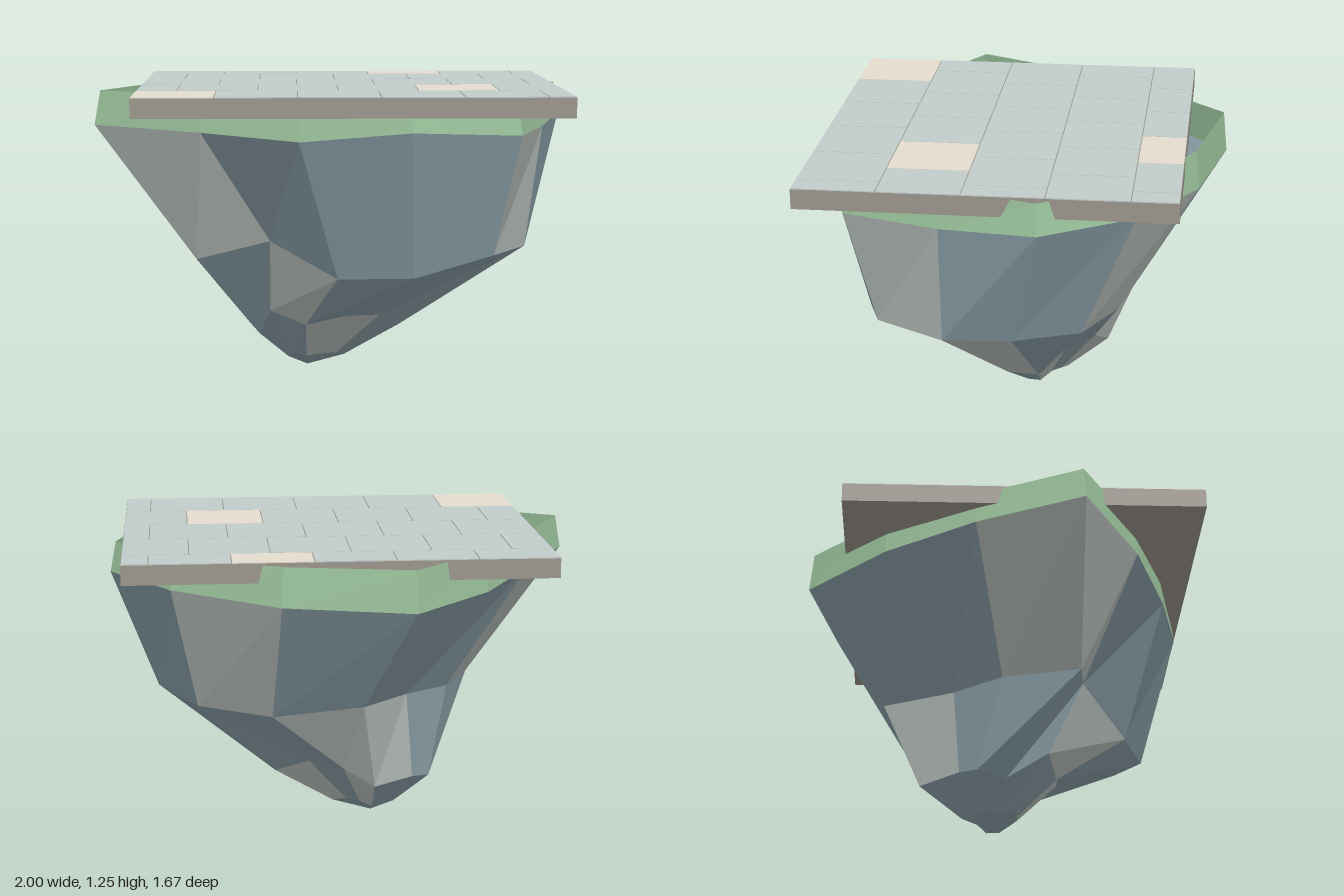
import * as THREE from 'three';

const mat = (name, color, side = THREE.FrontSide) => {
  const m = new THREE.MeshStandardMaterial({ color, side, flatShading: true });
  m.name = name;
  return m;
};

export function createModel() {
  const group = new THREE.Group();
  const slate = mat('slate blue rock', 0x869ba3, THREE.DoubleSide);
  const stone = mat('pale grey rock', 0xb3bbb7, THREE.DoubleSide);
  const moss = mat('moss green', 0x9ac29b, THREE.DoubleSide);
  const mortar = mat('brown grey slab', 0x9a958b);
  const tileGrey = mat('grey tile', 0xc0ccca);
  const tileTan = mat('tan tile', 0xe4ddce);

  const add = (name, geometry, material, parent = group) => {
    const mesh = new THREE.Mesh(geometry, material);
    mesh.name = name;
    parent.add(mesh);
    return mesh;
  };

  // Irregular rock rings, from the front counterclockwise seen from above
  const shoulder = [
    [0.30, 1.11, 0.82], [0.75, 1.085, 0.67], [0.88, 1.085, 0.27], [1.0, 1.115, -0.13],
    [0.75, 1.11, -0.5], [0.31, 1.08, -0.73], [-0.22, 1.07, -0.835], [-0.55, 1.08, -0.5],
    [-0.78, 1.1, -0.12], [-1.0, 1.1, 0.32], [-0.55, 1.09, 0.57], [-0.15, 1.065, 0.72],
  ];
  const waist = [
    [0.32, 0.50, 0.65], [0.65, 0.58, 0.56], [0.81, 0.575, 0.27], [0.81, 0.585, -0.01],
    [0.645, 0.56, -0.28], [0.336, 0.54, -0.41], [-0.04, 0.60, -0.5], [-0.25, 0.57, -0.2],
    [-0.45, 0.55, 0.0], [-0.58, 0.53, 0.32], [-0.27, 0.61, 0.35], [0.01, 0.48, 0.55],
  ];
  const foot = [
    [0.05, 0.27, 0.25], [0.2, 0.26, 0.17], [0.29, 0.2, 0.07], [0.31, 0.2, -0.07],
    [0.17, 0.275, -0.18], [0.03, 0.27, -0.29], [-0.1, 0.2, -0.34], [-0.28, 0.19, -0.175],
    [-0.36, 0.17, -0.1], [-0.32, 0.15, 0.02], [-0.27, 0.285, 0.2], [-0.12, 0.23, 0.24],
  ];
  const apex = [-0.11, 0, -0.04];
  const toe = foot.map(([x, y, z]) => [
    apex[0] + (x - apex[0]) * 0.4, y * 0.26, apex[2] + (z - apex[2]) * 0.4,
  ]);
  const tip = toe.map(() => apex);
  const rimTop = shoulder.map(([x, , z]) => [x * 0.975, 1.243, z * 0.98]);

  // Faceted band between two rings; the listed sides get the second material
  const band = (name, low, high, materials, second = []) => {
    const geometry = new THREE.BufferGeometry();
    const positions = [];
    low.forEach((a, i) => {
      const j = (i + 1) % low.length;
      positions.push(...a, ...low[j], ...high[j], ...a, ...high[j], ...high[i]);
      geometry.addGroup(i * 6, 6, second.includes(i) ? 1 : 0);
    });
    geometry.setAttribute('position', new THREE.Float32BufferAttribute(positions, 3));
    geometry.computeVertexNormals();
    add(name, geometry, materials);
  };
  const rock = [slate, stone];
  band('mossRim', shoulder, rimTop, [moss]);
  band('upperRock', waist, shoulder, rock, [1, 4, 8, 9]);
  band('middleRock', foot, waist, rock, [2, 5, 6, 10]);
  band('lowerRock', toe, foot, rock, [0, 3, 5, 11]);
  band('rockTip', tip, toe, [slate]);

  // Paved slab
  const x0 = -0.814, x1 = 0.944, z0 = -0.674, z1 = 0.834, top = 1.255, thin = 0.004;
  const slab = add('slab', new THREE.BoxGeometry(x1 - x0, 0.081, z1 - z0), mortar);
  slab.position.set((x0 + x1) / 2, 1.2105, (z0 + z1) / 2);

  // Staggered tiles with narrow seams
  const paving = new THREE.Group();
  paving.name = 'paving';
  group.add(paving);
  const rows = [z0, -0.487, -0.157, 0.17, 0.502, z1];
  const tan = ['0,3', '3,4', '4,0'];
  for (let r = 0; r < 5; r++) {
    const edges = [x0];
    for (let x = r % 2 ? -0.647 : -0.485; x < x1 - 0.05; x += 0.33) edges.push(x);
    edges.push(x1);
    for (let c = 0; c < edges.length - 1; c++) {
      const w = edges[c + 1] - edges[c], d = rows[r + 1] - rows[r];
      const material = tan.includes(`${r},${c}`) ? tileTan : tileGrey;
      const tile = add('tile', new THREE.BoxGeometry(w - 0.004, thin, d - 0.004), material, paving);
      tile.position.set(edges[c] + w / 2, top - thin / 2, rows[r] + d / 2);
    }
  }
  return group;
}
